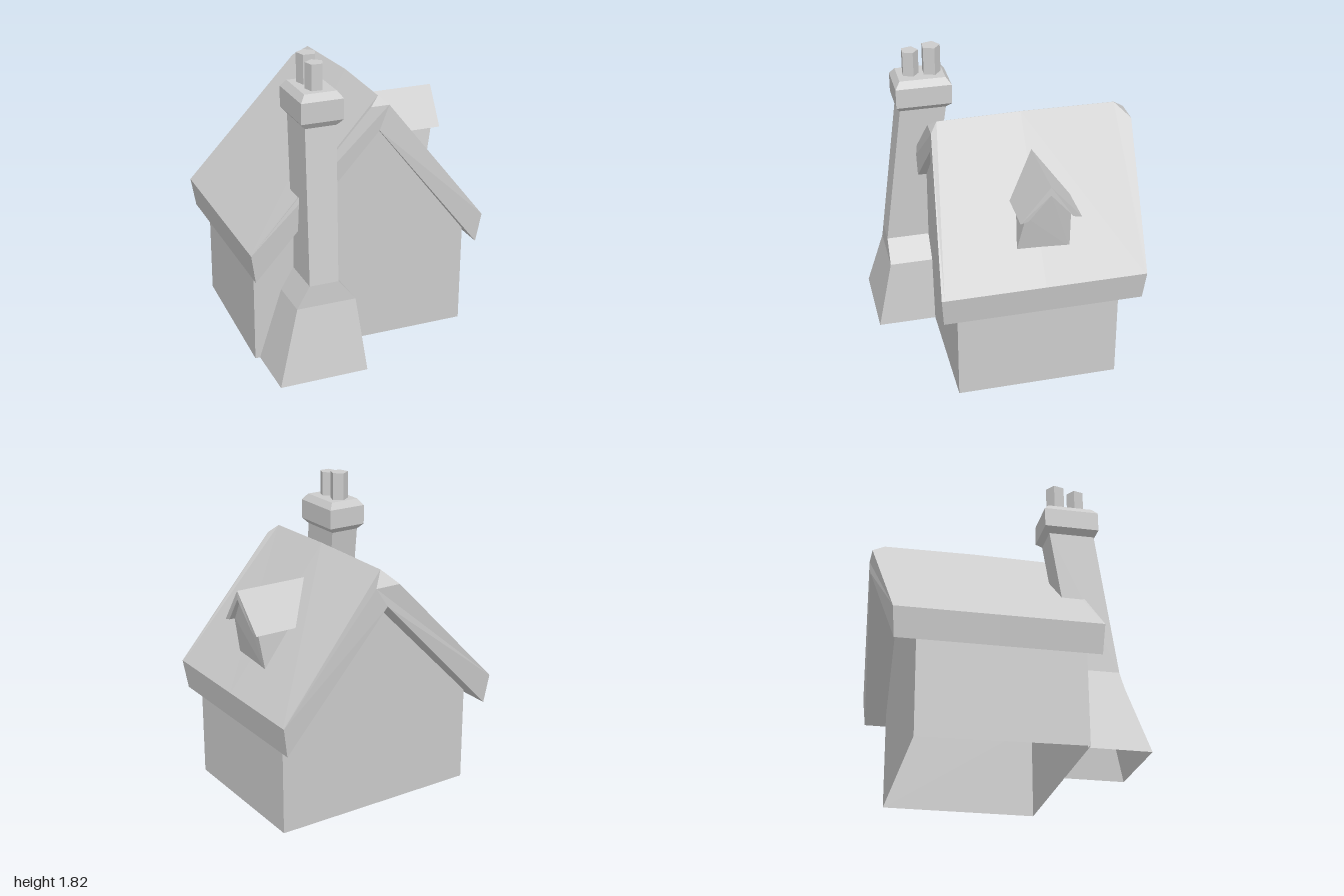
import * as THREE from 'three';

const material = new THREE.MeshStandardMaterial({
  color: 0xcccccc, flatShading: true, side: THREE.DoubleSide,
});

// Skin a row of rings of [x, y, z] points; a and b are the axes the end caps are laid out in.
// Faces on the ground are left open.
function loft(name, rings, a, b) {
  const n = rings[0].length;
  const pts = rings.flat();
  const tris = [];
  for (let r = 0; r < rings.length - 1; r++) {
    for (let i = 0; i < n; i++) {
      const j = (i + 1) % n;
      const p = r * n + i, q = r * n + j;
      tris.push([p, q, q + n], [p, q + n, p + n]);
    }
  }
  for (const r of [0, rings.length - 1]) {
    const flat = rings[r].map((p) => new THREE.Vector2(p[a], p[b]));
    const turn = Math.sign(THREE.ShapeUtils.area(flat));
    for (const t of THREE.ShapeUtils.triangulateShape(flat, [])) {
      const same = Math.sign(THREE.ShapeUtils.area(t.map((i) => flat[i]))) === turn;
      const tri = t.map((i) => r * n + i);
      tris.push(same === (r > 0) ? tri : tri.reverse());
    }
  }
  // Turn all faces outward
  const v = pts.map((p) => new THREE.Vector3(...p));
  let volume = 0;
  for (const [i, j, k] of tris) volume += v[i].dot(v[j].clone().cross(v[k]));
  if (volume < 0) tris.forEach((t) => t.reverse());

  const indexed = new THREE.BufferGeometry().setFromPoints(v);
  indexed.setIndex(tris.filter((t) => t.some((i) => v[i].y > 0)).flat());
  const geometry = indexed.toNonIndexed();
  geometry.computeVertexNormals();
  const mesh = new THREE.Mesh(geometry, material);
  mesh.name = name;
  return mesh;
}

// Horizontal rectangle at height y
const rect = (y, x0, x1, z0, z1) => [[x0, y, z0], [x1, y, z0], [x1, y, z1], [x0, y, z1]];

// Roof cross-section: ends of the ridge are cut to a short slope
function roofSection(xEave, xTop, tipBack, tipFront, tipY) {
  const xLow = xEave * 0.978;
  return [
    [xLow, 0.555, -0.70], [xEave, 0.735, -0.728],
    [xTop, tipY, tipBack], [xTop, tipY, tipFront],
    [xEave, 0.72, 0.728], [xLow, 0.543, 0.70],
    [xTop, 1.335, -0.08],
  ];
}

export function createModel() {
  const model = new THREE.Group();
  model.name = 'cottage';

  // Local x runs along the ridge, turned against the model's axes
  const house = new THREE.Group();
  house.name = 'house';
  house.rotation.y = -0.685;
  house.position.set(-0.005, 0, -0.055);
  model.add(house);

  // Walls with gables, slightly out of square
  house.add(loft('walls', [[-0.457, 0.65], [0.506, 0.685]].map(([x, front]) => [
    [x, 0, -0.653], [x, 0.612, -0.653], [x, 1.335, -0.08], [x, 0.59, front], [x, 0, front],
  ]), 2, 1));

  // Main roof
  house.add(loft('roof', [
    roofSection(-0.60, -0.653, -0.158, 0.0, 1.452),
    roofSection(-0.59, -0.569, -0.073, -0.071, 1.525),
    roofSection(0, 0, -0.092, -0.09, 1.54),
    roofSection(0.59, 0.492, -0.087, -0.085, 1.53),
    roofSection(0.606, 0.535, -0.138, -0.025, 1.482),
  ], 2, 1));

  // Dormer body, leaning outward, with a pointed front
  const cx = -0.03;
  const dormerSection = (dz) => [
    [cx - 0.14, 0.895, -0.585 + dz], [cx + 0.17, 0.91, -0.575 + dz],
    [cx + 0.13, 1.16, -0.63 + dz], [cx, 1.325, -0.66 + dz], [cx - 0.13, 1.16, -0.63 + dz],
  ];
  house.add(loft('dormerWalls', [dormerSection(0), dormerSection(0.38)], 0, 1));

  // Dormer roof, cut back to the slope of the main roof
  const dormerRoof = (eaveZ, ridgeZ) => [
    [cx - 0.185, 1.14, eaveZ], [cx, 1.362, ridgeZ], [cx + 0.17, 1.14, eaveZ],
    [cx + 0.125, 1.15, eaveZ], [cx, 1.31, ridgeZ], [cx - 0.135, 1.15, eaveZ],
  ];
  house.add(loft('dormerRoof', [dormerRoof(-0.665, -0.678), dormerRoof(-0.4, -0.22)], 0, 1));

  // Chimney: spreading foot, shoulder and leaning shaft
  const chimney = new THREE.Group();
  chimney.name = 'chimney';
  house.add(chimney);
  chimney.add(loft('chimneyStack', [
    rect(0, 0.50, 0.865, 0.123, 0.656),
    rect(0.425, 0.50, 0.77, 0.161, 0.518),
    rect(0.555, 0.505, 0.768, 0.267, 0.441),
    rect(1.455, 0.376, 0.654, 0.234, 0.42),
  ], 0, 2));
  chimney.add(loft('chimneyCap', [
    rect(1.455, 0.376, 0.654, 0.234, 0.42),
    rect(1.49, 0.344, 0.678, 0.2, 0.45),
    rect(1.61, 0.344, 0.678, 0.2, 0.45),
    rect(1.65, 0.374, 0.648, 0.23, 0.42),
  ], 0, 2));

  // Five-sided chimney pots
  for (const [x, z, radius, top] of [[0.444, 0.328, 0.058, 1.82], [0.57, 0.33, 0.053, 1.8]]) {
    const height = top - 1.63;
    const pot = new THREE.Mesh(new THREE.CylinderGeometry(radius, radius, height, 5), material);
    pot.name = 'chimneyPot';
    pot.position.set(x, 1.63 + height / 2, z);
    pot.rotation.y = 0.9;
    chimney.add(pot);
  }
  return model;
}
